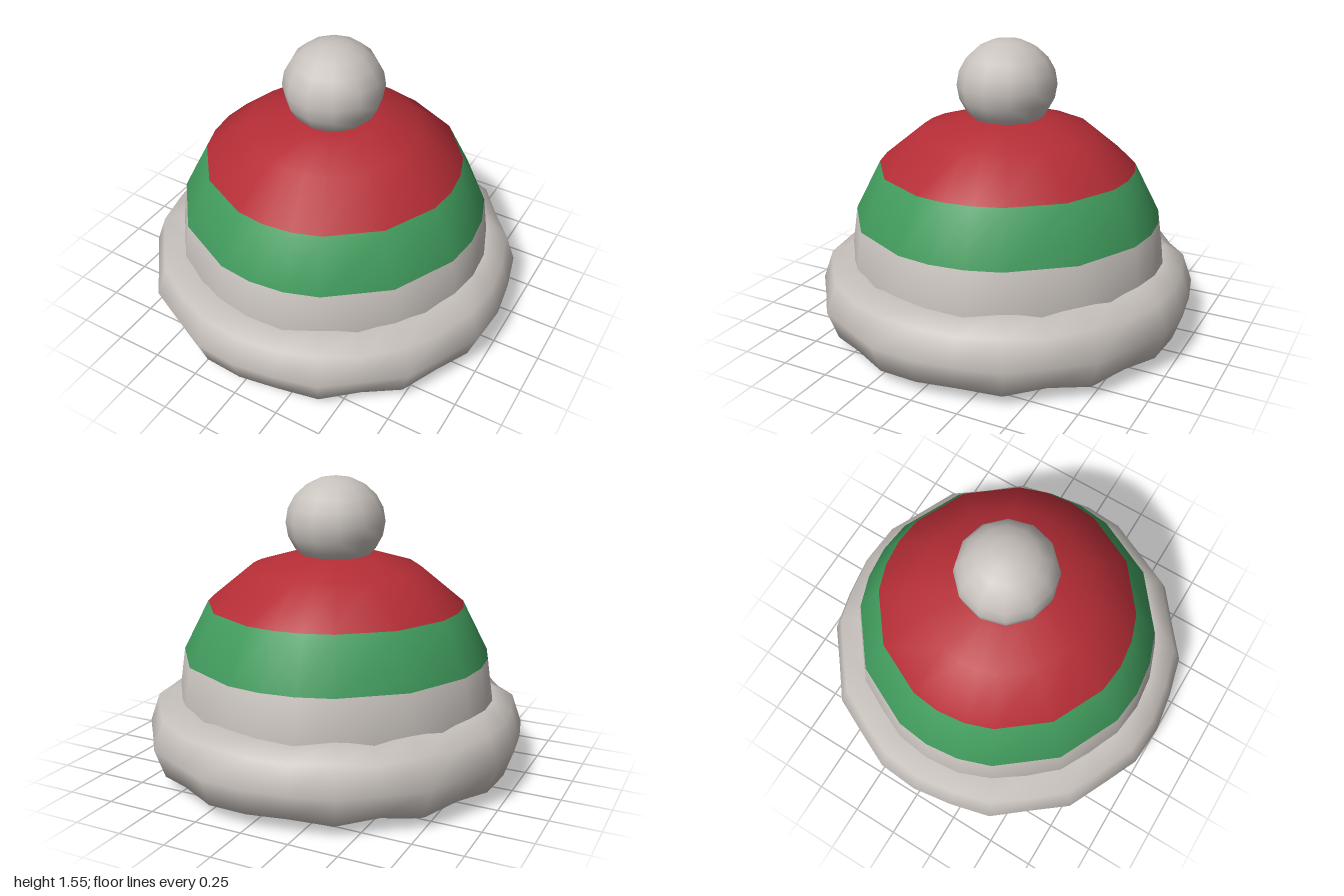
import * as THREE from 'three';

const red = new THREE.MeshStandardMaterial({ color: 0xb52d36 });
red.name = 'red wool';
const green = new THREE.MeshStandardMaterial({ color: 0x409a5c });
green.name = 'green wool';
const cream = new THREE.MeshStandardMaterial({ color: 0xc8c2bd });
cream.name = 'pale fleece';

const STEP = Math.PI / 14;

// Angles repeat every quarter turn, measured clockwise from the back.
function quarterAngles(steps) {
  const angles = [];
  for (let q = 0; q < 4; q++) for (const k of steps) angles.push((q * 7 + k) * STEP);
  return angles;
}

// Smooth surface through rings; point(row, column) gives [radius, height].
function loft(rows, angles, point, closedRows, rowMaterial = () => 0) {
  const n = angles.length;
  const position = [], index = [];
  const geometry = new THREE.BufferGeometry();
  for (let j = 0; j < rows; j++) {
    angles.forEach((a, i) => {
      const [r, y] = point(j, i);
      position.push(r * Math.sin(a), y, -r * Math.cos(a));
    });
  }
  const bands = closedRows ? rows : rows - 1;
  for (let j = 0; j < bands; j++) {
    const start = index.length;
    const up = (j + 1) % rows;
    for (let i = 0; i < n; i++) {
      const next = (i + 1) % n;
      const a = j * n + i, b = j * n + next, c = up * n + i, d = up * n + next;
      index.push(a, c, b, b, c, d);
    }
    geometry.addGroup(start, index.length - start, rowMaterial(j));
  }
  geometry.setAttribute('position', new THREE.Float32BufferAttribute(position, 3));
  geometry.setIndex(index);
  geometry.computeVertexNormals();
  return geometry;
}

export function createModel() {
  const hat = new THREE.Group();
  hat.name = 'winterHat';
  const add = (name, geometry, material) => {
    const mesh = new THREE.Mesh(geometry, material);
    mesh.name = name;
    hat.add(mesh);
    return mesh;
  };

  // Striped crown: pale band, green band, red top
  const crownAngles = quarterAngles([0, 1, 3, 5, 6]);
  const profile = [
    [0.83, 0.06], [0.845, 0.38], [0.81, 0.625], [0.675, 0.89],
    [0.45, 1.075], [0.22, 1.145], [0.001, 1.15],
  ];
  add('crown',
    loft(profile.length, crownAngles, (j) => profile[j], false, (j) => (j < 2 ? 0 : j === 2 ? 1 : 2)),
    [cream, green, red]);

  // Flat underside closing the opening
  const lining = add('lining', new THREE.CircleGeometry(0.83, 28), red);
  lining.rotation.x = Math.PI / 2;
  lining.position.y = 0.06;

  // Lumpy rolled brim: the roll swells and thins from step to step
  const swell = [1, 1.05, 0.92, 1.07, 0.91, 1.07, 0.95];
  const sides = 8;
  add('brim',
    loft(sides, quarterAngles([0, 1, 2, 3, 4, 5, 6]), (j, i) => {
      const t = (j / sides) * Math.PI * 2;
      const s = swell[i % 7];
      return [0.83 + 0.17 * s * Math.cos(t), 0.215 + 0.2 * s * Math.sin(t)];
    }, true),
    [cream]);

  // Bobble on top
  const bobble = add('bobble', new THREE.SphereGeometry(0.26, 12, 10), cream);
  bobble.scale.y = 0.92;
  bobble.position.y = 1.31;

  return hat;
}
